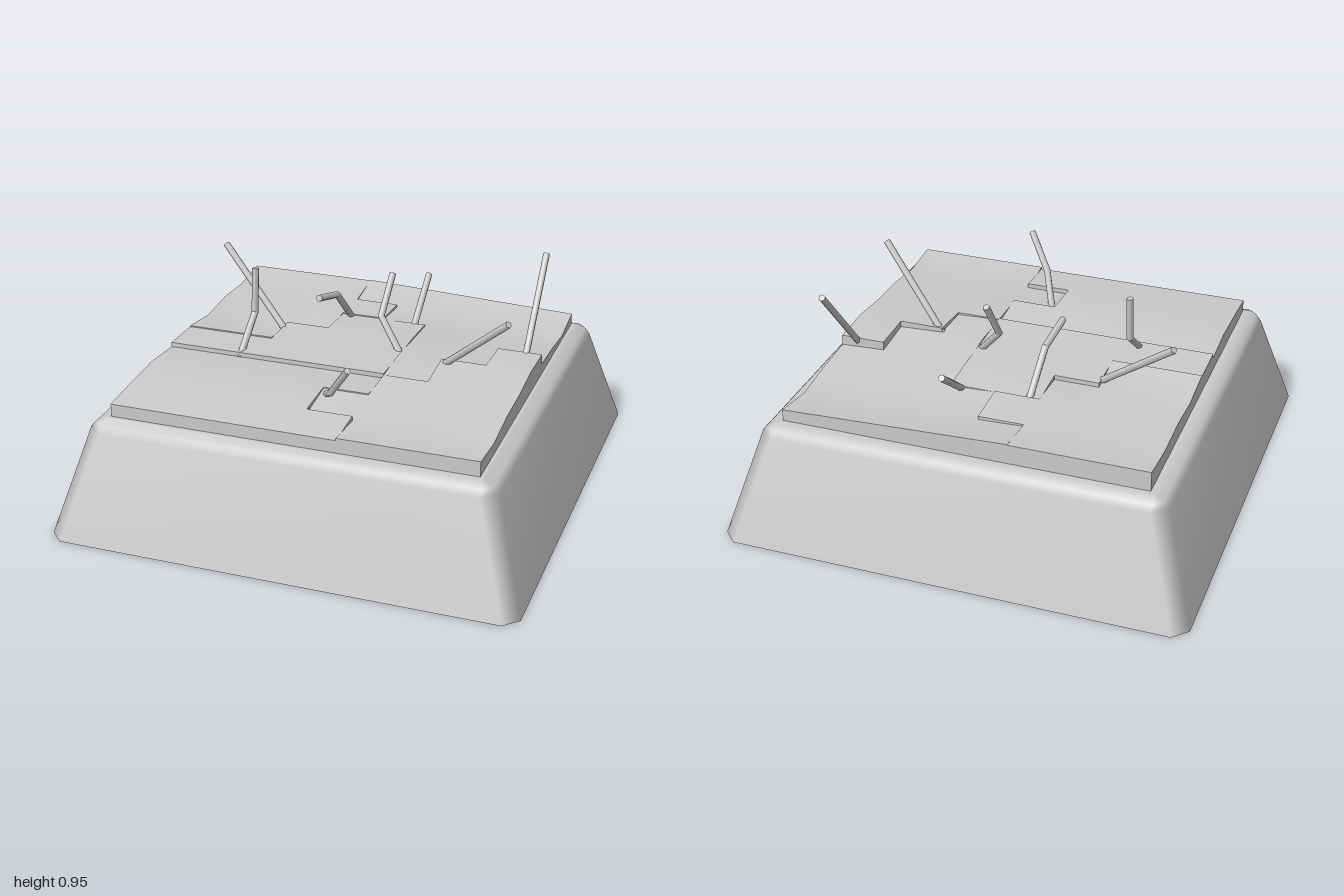
import * as THREE from 'three';

const grey = new THREE.MeshStandardMaterial({ color: 0xcccccc, side: THREE.DoubleSide });

function makeMesh(name, positions, index) {
  const g = new THREE.BufferGeometry();
  g.setAttribute('position', new THREE.Float32BufferAttribute(positions, 3));
  g.setIndex(index);
  g.computeVertexNormals();
  const mesh = new THREE.Mesh(g, grey);
  mesh.name = name;
  return mesh;
}

// Hollow tapered base: chamfered square rings [half width, corner cut, height]
function createBase() {
  const rings = [[1, 0.06, 0], [0.862, 0.06, 0.455], [0.84, 0.035, 0.48], [0.795, 0.003, 0.5]];
  const pos = [], idx = [];
  for (const [h, c, y] of rings) {
    const k = h - c;
    for (const [x, z] of [[k, h], [h, k], [h, -k], [k, -h], [-k, -h], [-h, -k], [-h, k], [-k, h]]) pos.push(x, y, z);
  }
  for (let r = 0; r < rings.length - 1; r++) {
    for (let i = 0; i < 8; i++) {
      const a = r * 8 + i, b = r * 8 + (i + 1) % 8;
      idx.push(a, b, b + 8, a, b + 8, a + 8);
    }
  }
  const top = (rings.length - 1) * 8;
  for (let i = 1; i < 7; i++) idx.push(top, top + i, top + i + 1);
  return makeMesh('base', pos, idx);
}

// Cracked ground: an 8 x 8 grid of cells, each belonging to one plate (rows run back to front)
const CELL = 0.195, FLOOR = 0.5;
const plateMap = ['AAADDDDD', 'AAAADDDD', 'AAACCDDD', 'AACCCDDE', 'CCCCCDEE', 'BBBBBEEE', 'BBBBEEEE', 'BBBBBEEE'];
// Plate heights at successive grid lines, starting at grid line "first"; slope tilts across x
const plates = {
  A: { name: 'backLeftPlate', first: 0, slope: 0, heights: [0.585, 0.565, 0.575, 0.56, 0.585] },
  B: { name: 'frontLeftPlate', first: 5, slope: 0, heights: [0.565, 0.58, 0.57, 0.555] },
  C: { name: 'middlePlate', first: 2, slope: 0, heights: [0.57, 0.58, 0.58, 0.585] },
  D: { name: 'backRightPlate', first: 0, slope: -0.03, heights: [0.58, 0.55, 0.57, 0.58, 0.595, 0.585] },
  E: { name: 'frontRightPlate', first: 3, slope: 0, heights: [0.595, 0.6, 0.58, 0.575, 0.55, 0.565] },
};

function createPlate(key) {
  const { name, first, slope, heights } = plates[key];
  const group = new THREE.Group();
  group.name = name;
  const at = (i, j) => [(i - 4) * CELL, heights[j - first] + slope * (i - 4) / 4, (j - 4) * CELL];
  const topPos = [], topIdx = [], wallPos = [], wallIdx = [], seen = {};
  const vertex = (i, j) => {
    const id = i + ',' + j;
    if (!(id in seen)) {
      seen[id] = topPos.length / 3;
      topPos.push(...at(i, j));
    }
    return seen[id];
  };
  const wall = (a, b) => {
    const n = wallPos.length / 3;
    wallPos.push(a[0], FLOOR, a[2], b[0], FLOOR, b[2], ...b, ...a);
    wallIdx.push(n, n + 1, n + 2, n, n + 2, n + 3);
  };
  const owns = (i, j) => plateMap[j]?.[i] === key;
  for (let j = 0; j < 8; j++) {
    for (let i = 0; i < 8; i++) {
      if (!owns(i, j)) continue;
      const a = vertex(i, j), b = vertex(i, j + 1), c = vertex(i + 1, j + 1), d = vertex(i + 1, j);
      topIdx.push(a, b, c, a, c, d);
      // Vertical sides where the neighbouring cell is another plate
      if (!owns(i, j + 1)) wall(at(i, j + 1), at(i + 1, j + 1));
      if (!owns(i + 1, j)) wall(at(i + 1, j + 1), at(i + 1, j));
      if (!owns(i, j - 1)) wall(at(i + 1, j), at(i, j));
      if (!owns(i - 1, j)) wall(at(i, j), at(i, j + 1));
    }
  }
  group.add(makeMesh('plateTop', topPos, topIdx), makeMesh('plateSides', wallPos, wallIdx));
  return group;
}

// Thin sticks poking out of the cracks, each a path from tip to root
const sticks = [
  [[-0.73, 0.865, -0.32], [-0.39, 0.57, -0.15]],
  [[0.71, 0.935, -0.495], [0.71, 0.57, -0.18]],
  [[0.72, 0.88, 0.19], [0.39, 0.57, 0.01]],
  [[0.145, 0.725, -0.605], [0.145, 0.56, -0.39]],
  [[-0.46, 0.895, -0.01], [-0.46, 0.7, 0.01], [-0.46, 0.56, 0.19]],
  [[0.2, 0.8, 0.66], [0.1, 0.655, 0.58], [0.01, 0.55, 0.39]],
  [[0.095, 0.865, -0.225], [0.075, 0.7, -0.13], [0.195, 0.555, -0.055]],
  [[-0.185, 0.775, -0.06], [-0.165, 0.73, -0.23], [-0.15, 0.56, -0.39]],
];

function createStick(path) {
  const group = new THREE.Group();
  group.name = 'stick';
  const pts = path.map((p) => new THREE.Vector3(...p));
  for (let i = 0; i < pts.length - 1; i++) {
    const dir = pts[i].clone().sub(pts[i + 1]);
    const seg = new THREE.Mesh(new THREE.CylinderGeometry(0.015, 0.015, dir.length() + 0.006, 6), grey);
    seg.name = 'stickSegment';
    seg.position.copy(pts[i]).add(pts[i + 1]).multiplyScalar(0.5);
    seg.quaternion.setFromUnitVectors(new THREE.Vector3(0, 1, 0), dir.normalize());
    group.add(seg);
  }
  return group;
}

export function createModel() {
  const model = new THREE.Group();
  model.name = 'crackedGroundBlock';
  model.add(createBase());
  for (const key of Object.keys(plates)) model.add(createPlate(key));
  for (const path of sticks) model.add(createStick(path));
  return model;
}
